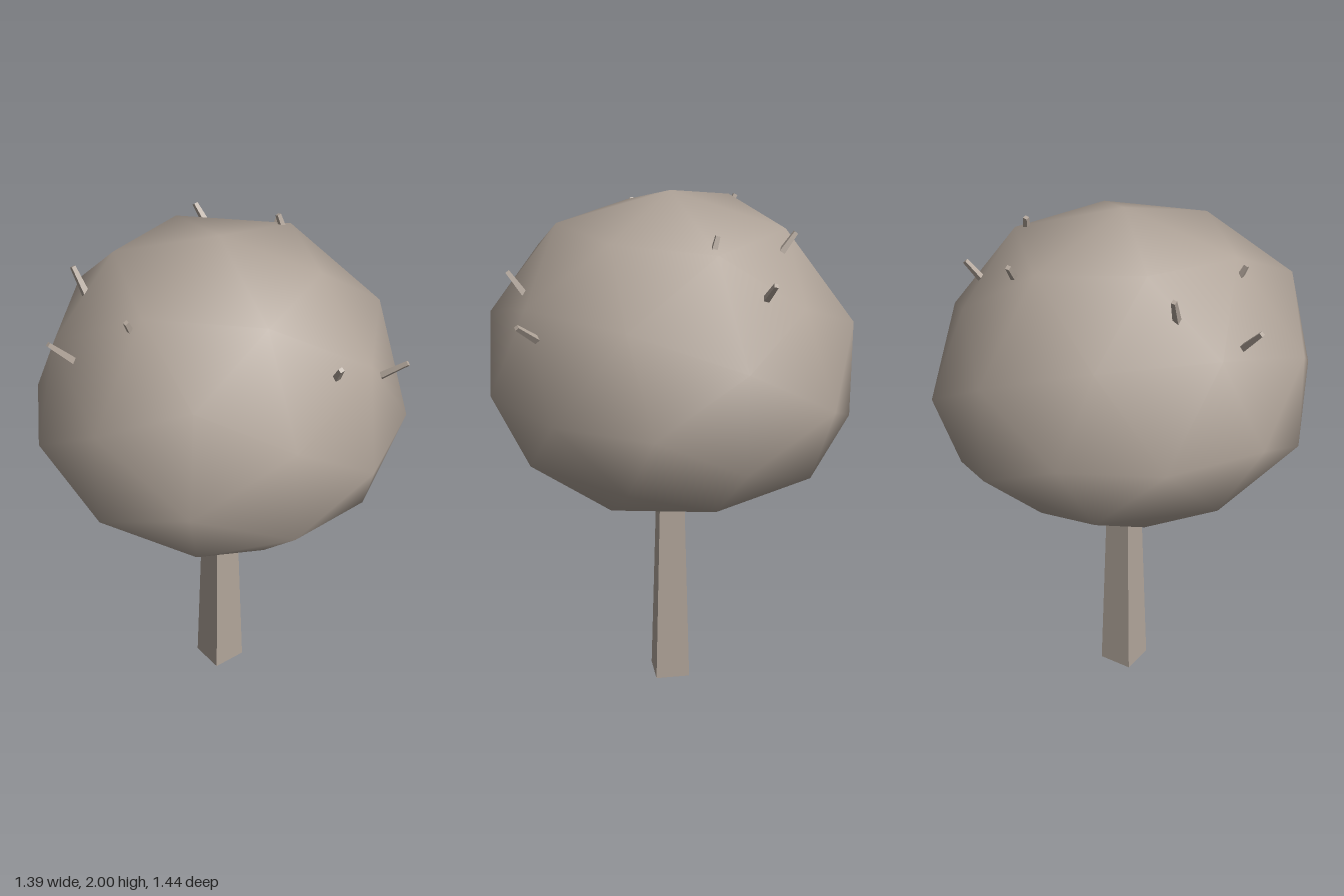
import * as THREE from 'three';
import { mergeVertices } from 'three/addons/utils/BufferGeometryUtils.js';

const barkSmooth = new THREE.MeshStandardMaterial({ color: 0xb0a499 });
barkSmooth.name = 'greyBrown';

// Four-sided tapering prism with hard edges
function taperedPost(bottomRadius, topRadius, height) {
  const geometry = new THREE.CylinderGeometry(topRadius, bottomRadius, height, 4).toNonIndexed();
  geometry.computeVertexNormals();
  return geometry;
}

// Low-poly ball, flatter below its equator, with slightly uneven corners
function canopyGeometry() {
  let geometry = new THREE.IcosahedronGeometry(1, 1);
  geometry.deleteAttribute('normal');
  geometry.deleteAttribute('uv');
  geometry = mergeVertices(geometry, 1e-3);
  // unit direction of a corner, then its offset
  const nudges = [
    [-0.526, 0.851, 0, -0.014, 0.012, 0],
    [0.526, 0.851, 0, -0.006, -0.016, 0],
    [0, 0.526, 0.851, 0, 0.02, 0.022],
    [0, 0.526, -0.851, 0, -0.01, 0.024],
    [0, -0.526, 0.851, 0, 0, -0.016],
    [0, -0.526, -0.851, 0, -0.014, -0.014],
    [0.526, -0.851, 0, 0.008, -0.012, 0],
    [-0.526, -0.851, 0, 0, 0.005, 0],
    [0.851, 0, 0.526, 0.008, 0, -0.01],
    [0.851, 0, -0.526, 0.008, 0, 0.01],
    [-0.851, 0, 0.526, -0.014, 0, -0.008],
    [-0.851, 0, -0.526, 0, 0, 0.018],
  ];
  const position = geometry.attributes.position;
  const v = new THREE.Vector3();
  for (let i = 0; i < position.count; i++) {
    v.fromBufferAttribute(position, i);
    const n = nudges.find(([x, y, z]) => Math.hypot(v.x - x, v.y - y, v.z - z) < 0.02);
    v.set(v.x * 0.695, 1.305 + v.y * (v.y > 0 ? 0.695 : 0.505), v.z * 0.722);
    if (n) v.add(new THREE.Vector3(n[3], n[4], n[5]));
    position.setXYZ(i, v.x, v.y, v.z);
  }
  geometry.computeVertexNormals();
  return geometry;
}

// Short twig from a point on the canopy to its tip, rooted a little inside
function makeTwig(from, to) {
  const tip = new THREE.Vector3(...to);
  const direction = tip.clone().sub(new THREE.Vector3(...from)).normalize();
  const root = new THREE.Vector3(...from).addScaledVector(direction, -0.04);
  const twig = new THREE.Mesh(taperedPost(0.017, 0.011, root.distanceTo(tip)), barkSmooth);
  twig.position.copy(root).lerp(tip, 0.5);
  twig.quaternion.setFromUnitVectors(new THREE.Vector3(0, 1, 0), direction);
  twig.name = 'twig';
  return twig;
}

export function createModel() {
  const tree = new THREE.Group();
  tree.name = 'tree';

  // Trunk, its top hidden inside the canopy
  const trunk = new THREE.Mesh(taperedPost(0.095, 0.064, 0.9), barkSmooth);
  trunk.position.y = 0.45;
  trunk.name = 'trunk';
  tree.add(trunk);

  const canopy = new THREE.Mesh(canopyGeometry(), barkSmooth);
  canopy.name = 'canopy';
  tree.add(canopy);

  // Twigs scattered over the upper half
  const twigs = new THREE.Group();
  twigs.name = 'twigs';
  const ends = [
    [[0.125, 1.70, -0.49], [0.15, 1.78, -0.555]],
    [[-0.105, 1.81, -0.41], [-0.155, 1.88, -0.44]],
    [[0.195, 1.85, -0.32], [0.17, 1.92, -0.325]],
    [[-0.475, 1.79, 0.08], [-0.515, 1.87, 0.06]],
    [[-0.485, 1.665, 0.325], [-0.545, 1.735, 0.36]],
    [[-0.25, 1.80, 0.355], [-0.265, 1.86, 0.38]],
    [[0.59, 1.565, 0.145], [0.685, 1.635, 0.155]],
    [[0.445, 1.66, 0.32], [0.465, 1.74, 0.385]],
  ];
  for (const [from, to] of ends) twigs.add(makeTwig(from, to));
  tree.add(twigs);

  return tree;
}
